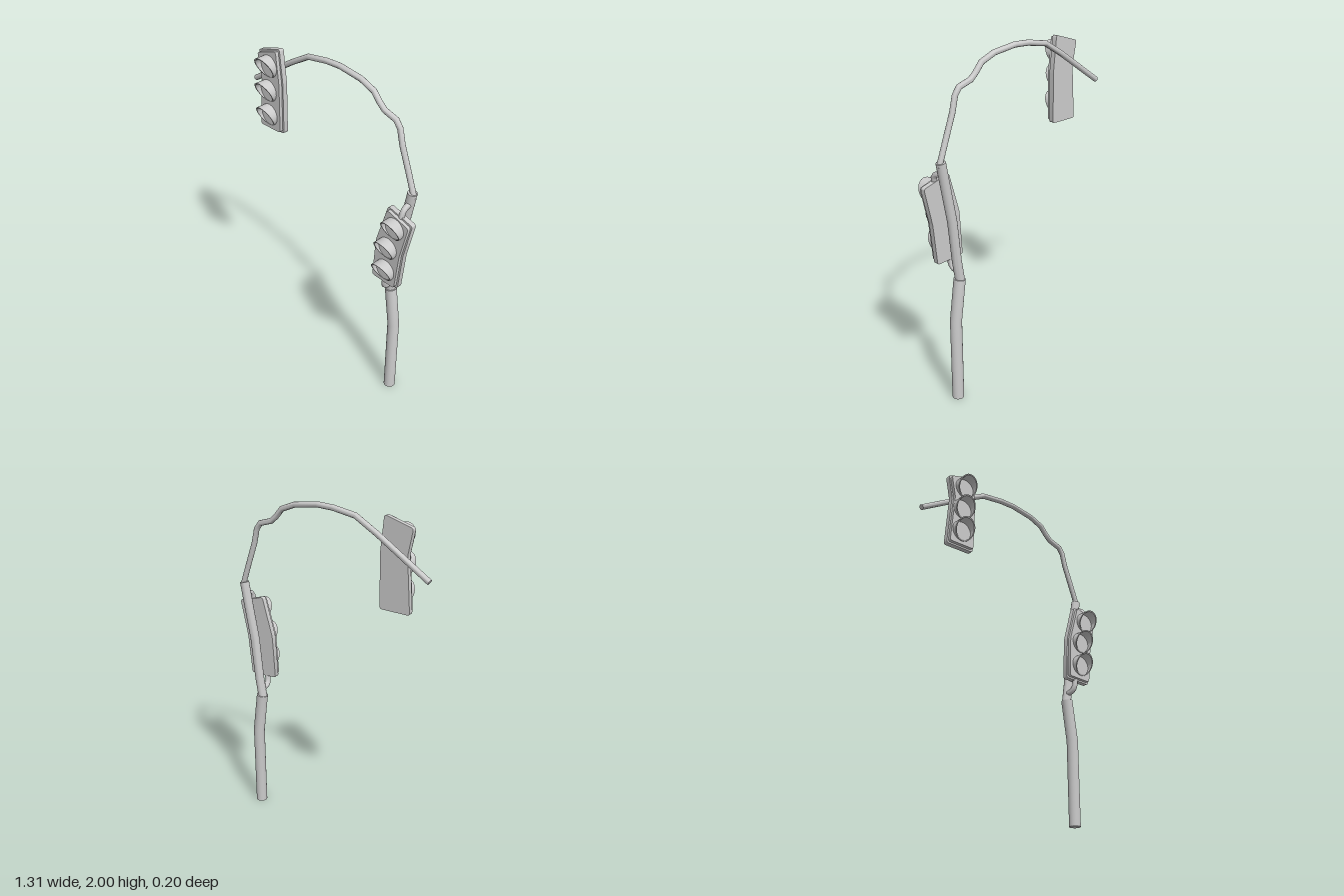
import * as THREE from 'three';
import { toCreasedNormals } from 'three/addons/utils/BufferGeometryUtils.js';

const grey = new THREE.MeshStandardMaterial({ color: 0xcccccc });
const POLE_Z = -0.065;

function addMesh(parent, name, geometry) {
  const mesh = new THREE.Mesh(geometry, grey);
  mesh.name = name;
  parent.add(mesh);
  return mesh;
}

// Round bar along a planar path with mitred bends and capped ends.
// The axis is the normal of the plane the path lies in.
function bar(points, radius, axis, sides = 20) {
  const n = points.length;
  const pos = [], index = [];
  const dir = i => points[i + 1].clone().sub(points[i]).normalize();
  const ring = (i, r) => {
    const a = dir(Math.max(i - 1, 0)), b = dir(Math.min(i, n - 2));
    const tangent = a.clone().add(b).normalize();
    const side = axis.clone().cross(tangent).normalize();
    const mitre = 1 / Math.max(tangent.dot(a), 0.5);
    for (let j = 0; j < sides; j++) {
      const t = (j / sides) * Math.PI * 2;
      const p = points[i].clone()
        .addScaledVector(side, Math.cos(t) * r * mitre)
        .addScaledVector(axis, Math.sin(t) * r);
      pos.push(p.x, p.y, p.z);
    }
  };
  ring(0, 0);
  for (let i = 0; i < n; i++) ring(i, radius);
  ring(n - 1, 0);
  for (let i = 0; i < n + 1; i++) {
    for (let j = 0; j < sides; j++) {
      const k = (j + 1) % sides;
      const a = i * sides + j, b = i * sides + k;
      const c = b + sides, d = a + sides;
      if (i > 0) index.push(a, b, c);
      if (i < n) index.push(a, c, d);
      if (i === 0) index.splice(-3, 3, a, c, d);
    }
  }
  const g = new THREE.BufferGeometry();
  g.setAttribute('position', new THREE.Float32BufferAttribute(pos, 3));
  g.setIndex(index);
  return toCreasedNormals(g, 0.9);
}

// Bent outline with softened corners, inset towards its middle line
function plate(corners, inset, z0, z1) {
  const pts = corners.map(([x, y]) => new THREE.Vector2(x, y));
  const mid = pts.reduce((s, p) => s.add(p), new THREE.Vector2()).divideScalar(pts.length);
  pts.forEach(p => {
    p.x -= Math.sign(p.x - mid.x) * inset;
    if (Math.abs(p.y - mid.y) > 0.1) p.y -= Math.sign(p.y - mid.y) * inset;
  });
  const shape = new THREE.Shape();
  pts.forEach((p, i) => {
    const prev = pts[(i + pts.length - 1) % pts.length];
    const next = pts[(i + 1) % pts.length];
    const a = p.clone().add(prev.clone().sub(p).setLength(0.016));
    const b = p.clone().add(next.clone().sub(p).setLength(0.016));
    if (i === 0) shape.moveTo(a.x, a.y); else shape.lineTo(a.x, a.y);
    shape.quadraticCurveTo(p.x, p.y, b.x, b.y);
  });
  shape.closePath();
  const g = new THREE.ExtrudeGeometry(shape, { depth: z1 - z0, bevelEnabled: false, curveSegments: 4 });
  return toCreasedNormals(g.translate(0, 0, z0), 0.6);
}

// Visor: a thin ring whose front is cut on a slope, longest at the top
function visorGeometry() {
  const outer = 0.065, inner = 0.058, reach = 0.068;
  const profile = [[inner, 0], [inner, 1], [outer, 1], [outer, 0]]
    .map(([x, y]) => new THREE.Vector2(x, y));
  profile.reverse();
  const g = new THREE.LatheGeometry(profile, 40);
  g.rotateX(Math.PI / 2);
  const p = g.attributes.position;
  for (let i = 0; i < p.count; i++) {
    if (p.getZ(i) > 0.5) p.setZ(i, 0.003 + (reach - 0.003) * (p.getY(i) + outer) / (2 * outer));
  }
  g.deleteAttribute('normal');
  g.deleteAttribute('uv');
  // Keep the surface facing outwards
  const idx = g.index.array;
  const v = k => new THREE.Vector3().fromBufferAttribute(p, idx[k]);
  let volume = 0;
  for (let k = 0; k < idx.length; k += 3) volume += v(k).dot(v(k + 1).cross(v(k + 2)));
  if (volume < 0) for (let k = 0; k < idx.length; k += 3) [idx[k], idx[k + 1]] = [idx[k + 1], idx[k]];
  return toCreasedNormals(g, 0.6);
}

// Signal head: two stacked plates and three hooded lamps [x, y, tilt]
function signalHead(name, corners, lamps) {
  const head = new THREE.Group();
  head.name = name;
  addMesh(head, 'backPlate', plate(corners, 0, -0.018, 0.012));
  addMesh(head, 'frontPlate', plate(corners, 0.01, 0.01, 0.032));
  const visor = visorGeometry();
  const lens = new THREE.CylinderGeometry(0.06, 0.06, 0.01, 40).rotateX(Math.PI / 2);
  for (const [x, y, tilt] of lamps) {
    const lamp = new THREE.Group();
    lamp.name = 'lamp';
    addMesh(lamp, 'lens', lens);
    addMesh(lamp, 'visor', visor);
    lamp.position.set(x, y, 0.032);
    lamp.rotation.z = tilt;
    head.add(lamp);
  }
  return head;
}

export function createModel() {
  const model = new THREE.Group();
  model.name = 'bentTrafficLight';
  const zAxis = new THREE.Vector3(0, 0, 1), xAxis = new THREE.Vector3(1, 0, 0);
  const flat = list => list.map(([x, y]) => new THREE.Vector3(x, y, POLE_Z));

  // Pole sections, from the ground up
  addMesh(model, 'lowerPole', bar(flat([[0.505, 0], [0.505, 0.51], [0.469, 0.76]]), 0.034, zAxis));
  addMesh(model, 'upperPole', bar(flat([
    [0.464, 0.74], [0.485, 0.87], [0.51, 1.12], [0.553, 1.35], [0.574, 1.465]]), 0.027, zAxis));
  addMesh(model, 'overhangArm', bar(flat([
    [0.586, 1.44], [0.535, 1.58], [0.486, 1.71], [0.465, 1.795], [0.437, 1.832], [0.357, 1.855],
    [0.322, 1.885], [0.28, 1.932], [0.19, 1.966], [0.04, 1.984], [-0.06, 1.979],
    [-0.2, 1.955], [-0.335, 1.877], [-0.648, 1.675]]), 0.016, zAxis));

  // Curved brackets holding the lower signal head
  const bracket = list => bar(list.map(([x, y, z]) => new THREE.Vector3(x, y, z)), 0.016, xAxis, 16);
  addMesh(model, 'upperBracket', bracket([
    [0.566, 1.395, -0.06], [0.568, 1.392, -0.03], [0.57, 1.383, -0.012],
    [0.57, 1.367, -0.001], [0.566, 1.33, 0.002]]));
  addMesh(model, 'lowerBracket', bracket([
    [0.483, 0.9, 0.002], [0.476, 0.845, 0.002], [0.472, 0.822, -0.004],
    [0.469, 0.807, -0.02], [0.467, 0.8, -0.06]]));

  // Signal heads, corners listed counter-clockwise from bottom left
  model.add(signalHead('armSignalHead',
    [[-0.515, 1.457], [-0.33, 1.461], [-0.325, 1.77], [-0.345, 1.972], [-0.518, 1.92], [-0.49, 1.775]],
    [[-0.415, 1.857, 0.1], [-0.426, 1.706, 0.05], [-0.426, 1.556, 0]]));
  model.add(signalHead('poleSignalHead',
    [[0.4, 0.873], [0.58, 0.868], [0.604, 1.11], [0.652, 1.327], [0.482, 1.372], [0.415, 1.135]],
    [[0.548, 1.271, -0.12], [0.509, 1.122, -0.08], [0.501, 0.968, 0]]));
  return model;
}
